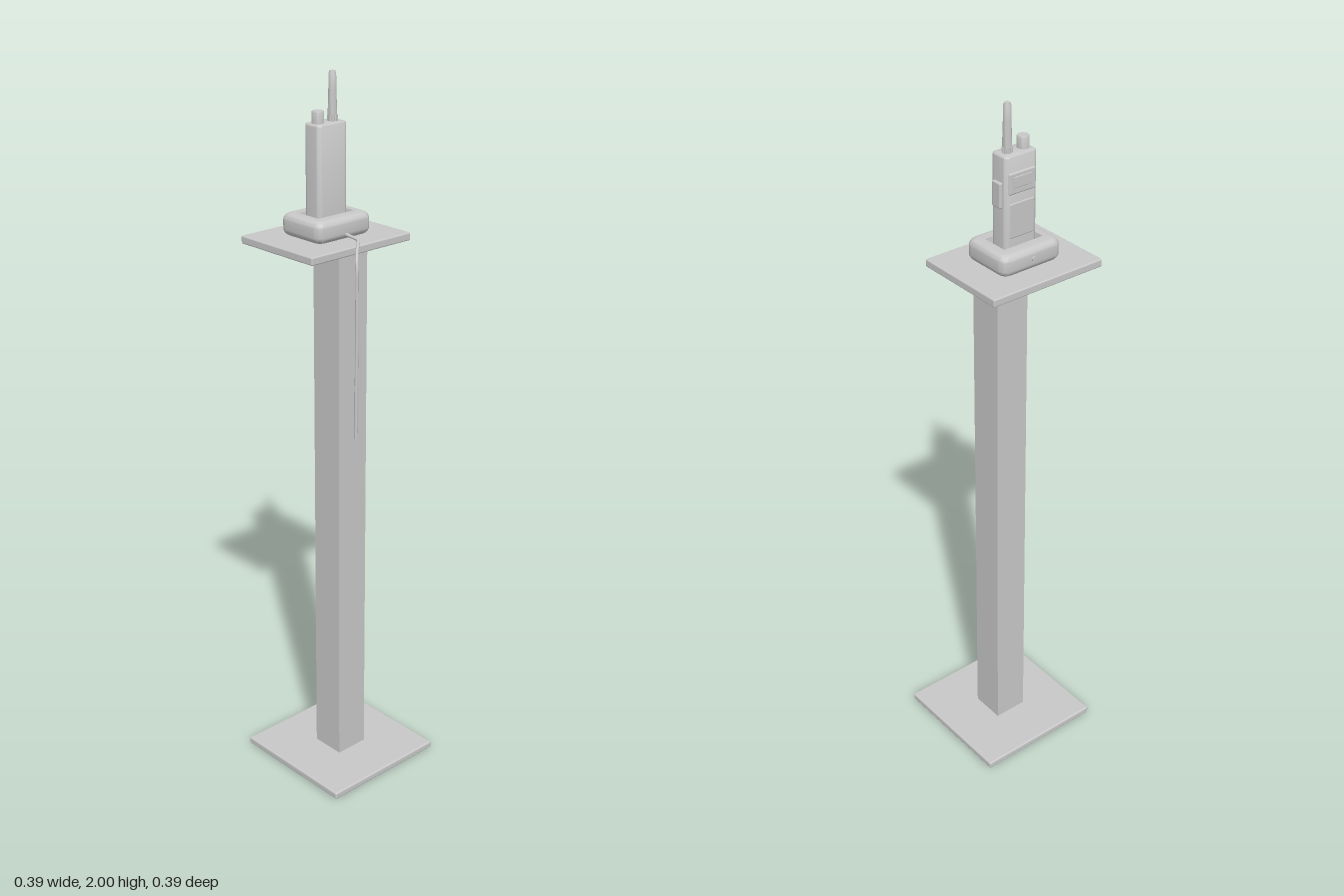
import * as THREE from 'three';
import { toCreasedNormals } from 'three/addons/utils/BufferGeometryUtils.js';
import { RoundedBoxGeometry } from 'three/addons/geometries/RoundedBoxGeometry.js';

// Loft of rounded rectangles, each [half x, half z, corner radius, y], closed at both ends
function loft(rings) {
  const n = 6, pos = [], idx = [], count = 4 * (n + 1);
  for (const [hx, hz, r, y] of rings) {
    for (let c = 0; c < 4; c++) {
      const sx = c === 0 || c === 3 ? 1 : -1, sz = c < 2 ? 1 : -1;
      for (let k = 0; k <= n; k++) {
        const a = (c + k / n) * Math.PI / 2;
        pos.push(sx * (hx - r) + r * Math.cos(a), y, sz * (hz - r) + r * Math.sin(a));
      }
    }
  }
  const last = rings.length - 1, lo = rings.length * count, hi = lo + 1;
  pos.push(0, rings[0][3], 0, 0, rings[last][3], 0);
  for (let i = 0; i < count; i++) {
    const k = (i + 1) % count;
    for (let j = 0; j < last; j++) {
      const a = j * count, b = a + count;
      idx.push(a + i, b + i, a + k, b + i, b + k, a + k);
    }
    idx.push(lo, i, k, hi, last * count + k, last * count + i);
  }
  const g = new THREE.BufferGeometry();
  g.setAttribute('position', new THREE.Float32BufferAttribute(pos, 3));
  g.setIndex(idx);
  return toCreasedNormals(g, 0.6);
}

export function createModel() {
  const group = new THREE.Group();
  const grey = new THREE.MeshStandardMaterial({ color: 0xc8c8c8 });
  grey.name = 'grey';

  const add = (name, geometry, x = 0, y = 0, z = 0) => {
    const mesh = new THREE.Mesh(geometry, grey);
    mesh.name = name;
    mesh.position.set(x, y, z);
    group.add(mesh);
    return mesh;
  };
  const box = (name, w, h, d, r, x, y, z) =>
    add(name, new RoundedBoxGeometry(w, h, d, 3, r), x, y, z);

  // Stand
  box('basePlate', 0.386, 0.02, 0.386, 0.005, 0, 0.01, 0);
  add('post', new THREE.BoxGeometry(0.1, 1.535, 0.1), 0, 0.7875, 0);
  box('topPlate', 0.35, 0.022, 0.28, 0.004, 0, 1.564, -0.055);

  // Charging cradle: soft outer shell turning in to a tapered pocket
  const shell = [];
  const soft = 0.018, bottom = 1.575, top = 1.635;
  for (let i = 0; i <= 5; i++) {
    const a = (i / 5 - 1) * Math.PI / 2, inset = soft * (1 - Math.cos(a));
    shell.push([0.095 - inset, 0.078 - inset, 0.024 - inset * 0.5, bottom + soft * (1 + Math.sin(a))]);
  }
  for (let i = 0; i <= 5; i++) {
    const a = i / 5 * Math.PI / 2, inset = soft * (1 - Math.cos(a));
    shell.push([0.095 - inset, 0.078 - inset, 0.024 - inset * 0.5, top - soft * (1 - Math.sin(a))]);
  }
  shell.push([0.062, 0.0385, 0.0005, top], [0.054, 0.033, 0.0005, 1.6]);
  add('chargingCradle', loft(shell), 0, 0, -0.0545);

  const lamp = add('cradleLamp', new THREE.CylinderGeometry(0.006, 0.006, 0.012, 16), 0, 1.607, -0.131);
  lamp.rotation.x = Math.PI / 2;

  // Handheld radio body with a rounded top edge
  const body = [[0.05, 0.03, 0.012, 1.6]];
  for (let i = 0; i <= 4; i++) {
    const a = i / 4 * Math.PI / 2, inset = 0.006 * (1 - Math.cos(a));
    body.push([0.05 - inset, 0.03 - inset, 0.012 - inset, 1.865 + 0.006 * Math.sin(a)]);
  }
  add('radioBody', loft(body), 0, 0, -0.055);

  // Raised panels on the radio's face, and the side button
  box('displayFrame', 0.084, 0.058, 0.014, 0.005, 0, 1.80, -0.082);
  box('displayScreen', 0.056, 0.03, 0.006, 0.002, 0, 1.803, -0.0875);
  box('speakerPanel', 0.08, 0.095, 0.01, 0.004, 0, 1.70, -0.082);
  box('talkButton', 0.016, 0.068, 0.032, 0.004, 0.05, 1.768, -0.054);

  // Volume knob
  const knob = [[0, 1.865], [0.016, 1.865], [0.016, 1.9], [0.0145, 1.903], [0, 1.903]];
  add('volumeKnob', toCreasedNormals(new THREE.LatheGeometry(
    knob.map(([r, y]) => new THREE.Vector2(r, y)), 24), 0.6), -0.027, 0, -0.055);

  // Antenna with a ribbed collar
  const rod = [[0, 1.865], [0.0125, 1.865], [0.012, 1.9], [0.0105, 1.95], [0.01, 1.99],
    [0.0075, 1.998], [0, 2]];
  add('antenna', toCreasedNormals(new THREE.LatheGeometry(
    rod.map(([r, y]) => new THREE.Vector2(r, y)), 20), 0.7), 0.023, 0, -0.055);
  const gear = new THREE.Shape();
  for (let i = 0; i < 32; i++) {
    const r = i % 2 ? 0.0125 : 0.0138, a = i / 32 * Math.PI * 2;
    gear[i ? 'lineTo' : 'moveTo'](r * Math.cos(a), r * Math.sin(a));
  }
  const collar = new THREE.ExtrudeGeometry(gear, { depth: 0.018, bevelEnabled: false });
  collar.rotateX(-Math.PI / 2);
  add('antennaCollar', collar, 0.023, 1.868, -0.055);

  // Cable leaving the cradle and hanging over the plate's edge
  const path = new THREE.CatmullRomCurve3([
    [0, 1.59, 0.015], [0, 1.584, 0.068], [-0.032, 1.568, 0.098], [-0.048, 1.545, 0.114],
    [-0.053, 1.51, 0.121], [-0.055, 1.3, 0.123], [-0.057, 1.06, 0.123],
  ].map((p) => new THREE.Vector3(...p)), false, 'catmullrom', 0.2);
  add('cable', new THREE.TubeGeometry(path, 80, 0.0045, 10, false));
  add('cableEnd', new THREE.CylinderGeometry(0.005, 0.005, 0.15, 12), -0.0565, 1.135, 0.123);

  return group;
}
